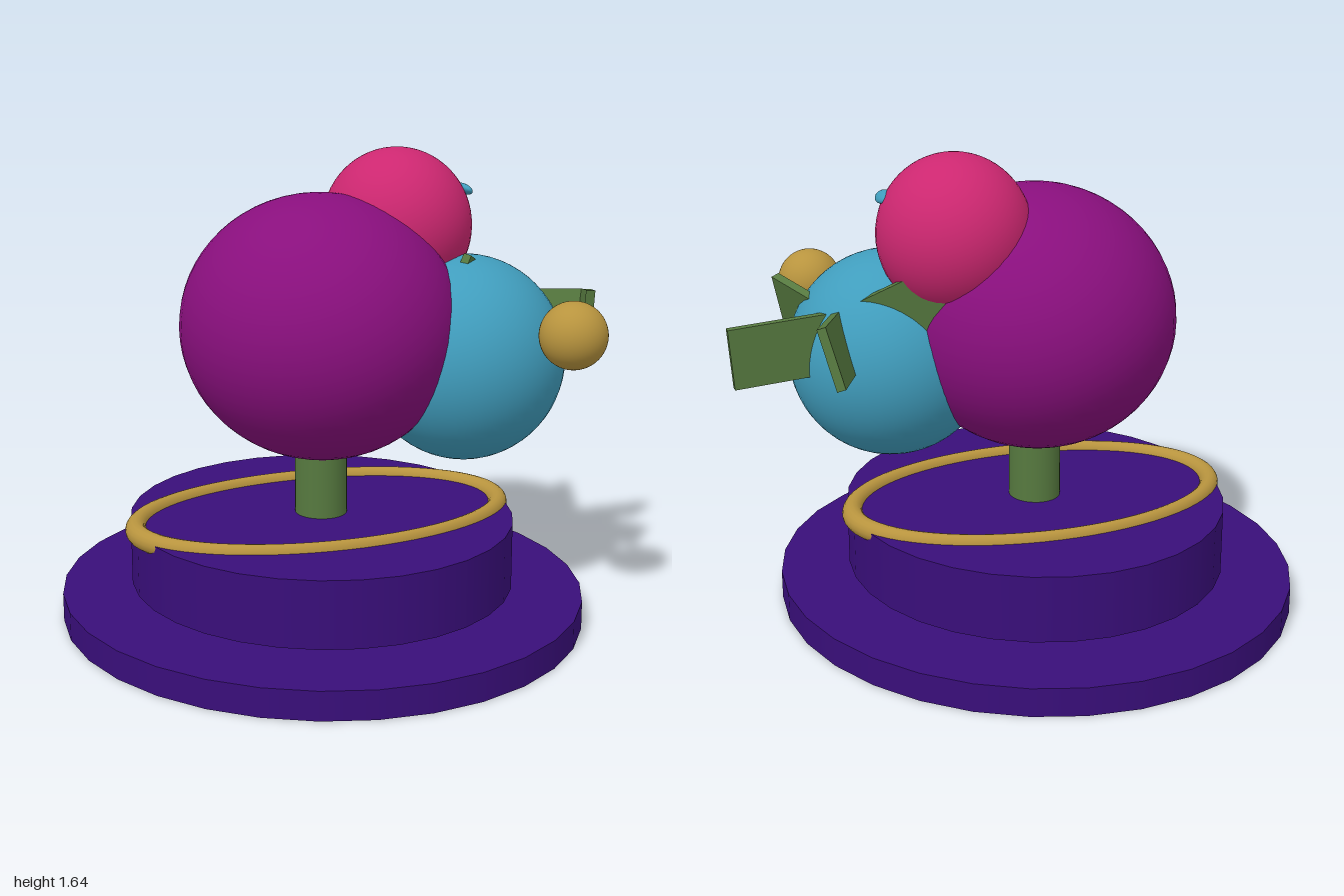
import * as THREE from 'three';

const mat = (name, color) => {
  const m = new THREE.MeshStandardMaterial({ color });
  m.name = name;
  return m;
};

export function createModel() {
  const indigo = mat('indigo', 0x390e7a);
  const plum = mat('plum', 0x890f7d);
  const pink = mat('pink', 0xcc2770);
  const blue = mat('blue', 0x409dbd);
  const green = mat('green', 0x56793f);
  const gold = mat('gold', 0xb8943e);

  const model = new THREE.Group();
  model.name = 'model';

  const add = (name, geometry, material, x, y, z, parent = model) => {
    const mesh = new THREE.Mesh(geometry, material);
    mesh.name = name;
    mesh.position.set(x, y, z);
    parent.add(mesh);
    return mesh;
  };
  const ellipsoid = (rx, ry, rz) => new THREE.SphereGeometry(1, 48, 32).scale(rx, ry, rz);
  const disc = (rx, rz, h, sides = 32) => new THREE.CylinderGeometry(1, 1, h, sides).scale(rx, 1, rz);

  const cx = -0.08; // axis of the stand

  // Stand: two discs, oval ring and post
  add('base', disc(0.922, 0.988, 0.1), indigo, cx, 0.05, 0);
  add('pedestal', disc(0.677, 0.725, 0.235), indigo, cx, 0.243, 0);
  const ring = new THREE.TorusGeometry(0.675, 0.037, 16, 72).rotateX(Math.PI / 2).scale(1, 1, 0.605);
  add('ring', ring, gold, cx, 0.353, 0);
  add('post', disc(0.092, 0.098, 0.34), green, cx, 0.53, 0);

  // Overlapping round masses
  add('body', ellipsoid(0.49, 0.465, 0.522), plum, cx, 1.037, 0);
  add('head', ellipsoid(0.265, 0.275, 0.277), pink, 0.235, 1.368, -0.065);
  add('belly', ellipsoid(0.36, 0.365, 0.36), blue, 0.41, 0.915, 0.132);
  add('ball', ellipsoid(0.115, 0.115, 0.115), gold, 0.587, 1.07, 0.602);

  // Small oval eye lying on the head
  const eye = add('eye', ellipsoid(0.028, 0.017, 0.052), blue, 0.458, 1.495, 0.014);
  eye.rotation.z = -0.6;

  // Five raised blades around an axis leaning forward
  const fan = new THREE.Group();
  fan.name = 'bladeFan';
  fan.position.set(0.6, 1.015, 0);
  fan.rotation.z = THREE.MathUtils.degToRad(-18);
  model.add(fan);
  const blade = new THREE.BoxGeometry(0.4, 0.21, 0.03).translate(0.2, 0, 0);
  blade.rotateZ(THREE.MathUtils.degToRad(14));
  for (let i = 0; i < 5; i++) {
    add('blade' + (i + 1), blade, green, 0, 0, 0, fan).rotation.y = (i / 5) * Math.PI * 2;
  }

  return model;
}
